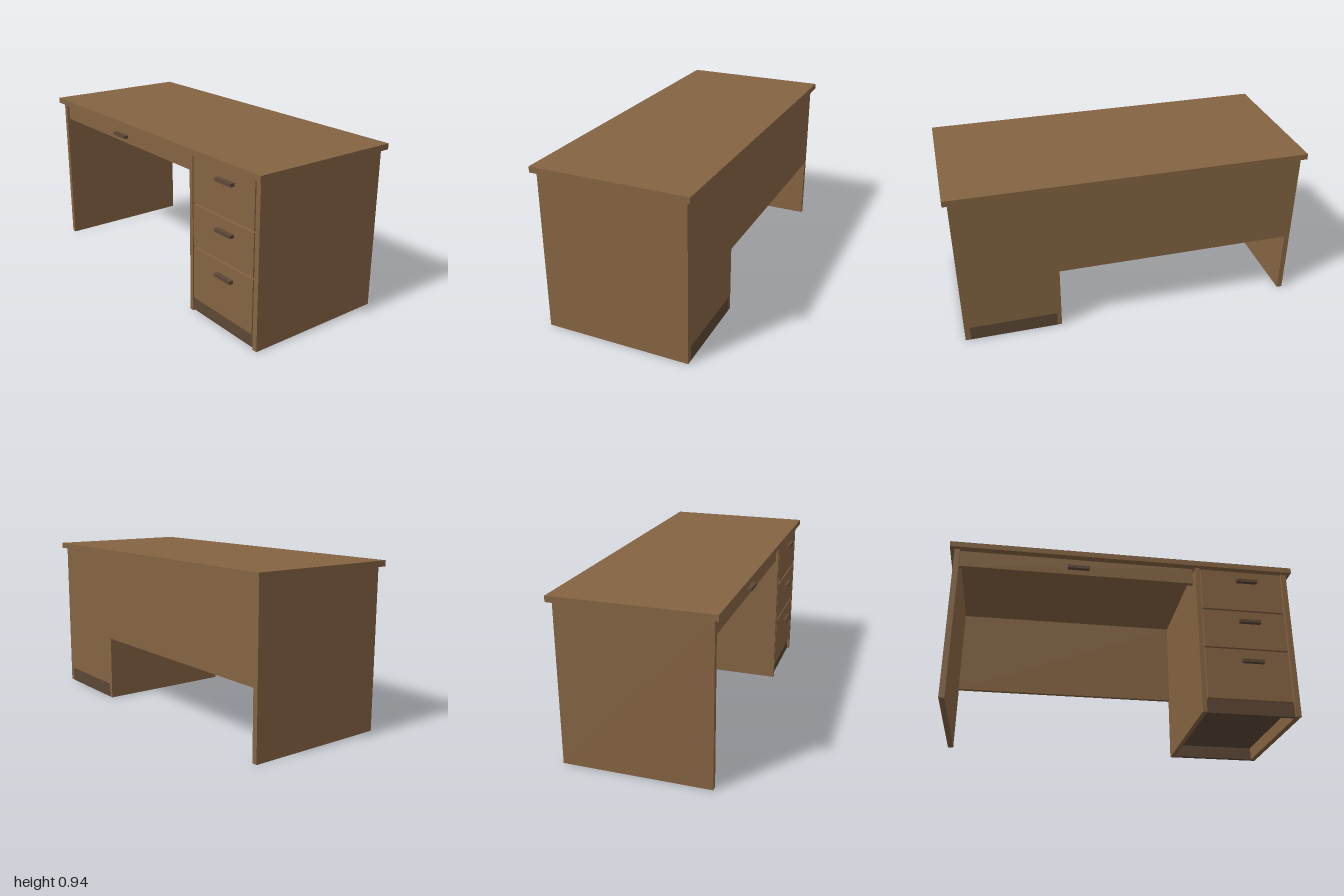
import * as THREE from 'three';

export function createModel() {
  const desk = new THREE.Group();
  desk.name = 'desk';
  const wood = new THREE.MeshStandardMaterial({ color: 0x856442 });
  wood.name = 'brown wood';
  const dark = new THREE.MeshStandardMaterial({ color: 0x5c4735 });
  dark.name = 'dark brown';

  // Box given by its minimum and maximum corners
  function box(name, mat, x0, x1, y0, y1, z0, z1, parent = desk) {
    const mesh = new THREE.Mesh(new THREE.BoxGeometry(x1 - x0, y1 - y0, z1 - z0), mat);
    mesh.position.set((x0 + x1) / 2, (y0 + y1) / 2, (z0 + z1) / 2);
    mesh.name = name;
    parent.add(mesh);
  }

  const D = 0.4125; // half depth of the side panels
  const T = 0.905; // underside of the top

  // Desk top and upright panels
  box('top', wood, -1, 1, T, 0.9375, -0.4375, 0.4375);
  box('sidePanelRight', wood, -0.975, -0.944, 0, T, -D, D);
  box('pedestalInnerPanel', wood, 0.419, 0.444, 0, T, -D, D);
  box('sidePanelLeft', wood, 0.944, 0.975, 0, T, -D, D);
  box('modestyPanel', wood, -0.944, 0.419, 0.38, T, -D, -D + 0.025);

  // Pedestal body, its dark floor and the kick boards front and back
  box('pedestalBody', wood, 0.444, 0.944, 0.085, T, -D, 0.395);
  box('pedestalFloor', dark, 0.444, 0.944, 0.075, 0.085, -D + 0.025, 0.385);
  box('kickBoardFront', dark, 0.444, 0.944, 0, 0.08, 0.38, 0.4);
  box('kickBoardBack', dark, 0.444, 0.944, 0, 0.085, -D, -D + 0.025);

  // Drawer front with its bar handle
  function drawer(name, x0, x1, y0, y1, zBack, zFront, handleX, handleY) {
    const group = new THREE.Group();
    group.name = name;
    box('drawerFront', wood, x0, x1, y0, y1, zBack, zFront, group);
    box('handle', dark, handleX - 0.0625, handleX + 0.0625,
      handleY - 0.009, handleY + 0.009, zFront, zFront + 0.025, group);
    desk.add(group);
  }
  drawer('centreDrawer', -0.942, 0.405, 0.803, 0.902, 0.375, 0.4, -0.269, 0.843);
  [[0.64, 0.897, 0.83], [0.395, 0.63, 0.561], [0.083, 0.385, 0.311]].forEach(([y0, y1, hy], i) =>
    drawer('pedestalDrawer' + (i + 1), 0.452, 0.936, y0, y1, 0.39, 0.4125, 0.723, hy));

  return desk;
}
